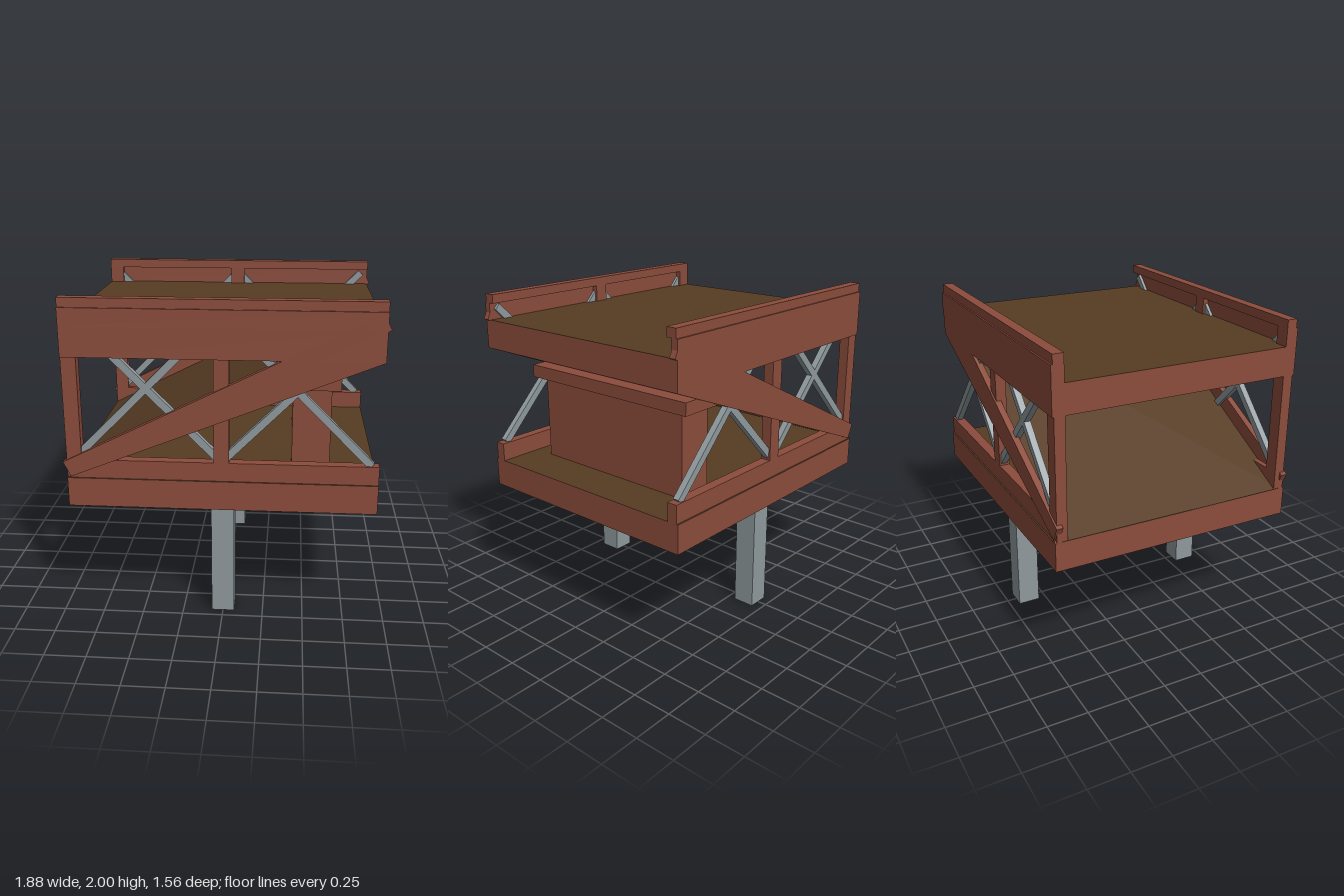
import * as THREE from 'three';

export function createModel() {
  const model = new THREE.Group();
  model.name = 'trussBridgeSection';

  const red = new THREE.MeshStandardMaterial({ color: 0x8b4c3c });
  red.name = 'rust red steel';
  const brown = new THREE.MeshStandardMaterial({ color: 0x563b23 });
  brown.name = 'brown decking';
  const gray = new THREE.MeshStandardMaterial({ color: 0x8f999d, side: THREE.DoubleSide });
  gray.name = 'gray metal';

  function add(parent, name, geometry, material) {
    const mesh = new THREE.Mesh(geometry, material);
    mesh.name = name;
    parent.add(mesh);
    return mesh;
  }

  // Box given by its minimum and maximum on each axis
  function box(parent, name, [x0, x1], [y0, y1], [z0, z1], material) {
    const mesh = add(parent, name, new THREE.BoxGeometry(x1 - x0, y1 - y0, z1 - z0), material);
    mesh.position.set((x0 + x1) / 2, (y0 + y1) / 2, (z0 + z1) / 2);
    return mesh;
  }

  // Straight bar between two points in the xy plane
  function bar(parent, name, [x0, y0], [x1, y1], width, [z0, z1], material) {
    const length = Math.hypot(x1 - x0, y1 - y0);
    const mesh = add(parent, name, new THREE.BoxGeometry(length, width, z1 - z0), material);
    mesh.position.set((x0 + x1) / 2, (y0 + y1) / 2, (z0 + z1) / 2);
    mesh.rotation.z = Math.atan2(y1 - y0, x1 - x0);
    return mesh;
  }

  const X = [-0.92, 0.92];
  const Z = [-0.78, 0.78];

  // Two decks, brown on their upper faces
  const deckMaterials = [red, red, brown, red, red, red];
  box(model, 'lowerDeck', X, [0.74, 0.92], Z, deckMaterials);
  box(model, 'upperDeck', X, [1.66, 1.84], Z, deckMaterials);

  // Wedge-shaped ramp joining the decks
  const wedge = new THREE.Shape([
    new THREE.Vector2(-0.92, 0.92),
    new THREE.Vector2(0.92, 1.66),
    new THREE.Vector2(0.92, 1.84),
  ]);
  const rampGeometry = new THREE.ExtrudeGeometry(wedge, { depth: 1.56, bevelEnabled: false });
  rampGeometry.translate(0, 0, -0.78);
  add(model, 'ramp', rampGeometry, red);
  bar(model, 'rampDecking', [-0.92, 0.921], [0.91, 1.836], 0.006, [-0.74, 0.74], brown);

  // Cabin under the ramp with an overhanging cap
  box(model, 'cabin', [0.41, 0.64], [0.92, 1.45], [-0.57, 0.57], red);
  box(model, 'cabinCap', [0.36, 0.69], [1.45, 1.53], [-0.64, 0.64], red);

  // Truss and leg on each side
  for (const side of [1, -1]) {
    const truss = new THREE.Group();
    truss.name = side > 0 ? 'frontTruss' : 'backTruss';
    model.add(truss);
    const span = (a, b) => (side > 0 ? [a, b] : [-b, -a]);
    const frameZ = span(0.705, 0.77);
    const curbZ = span(0.74, 0.78);
    const braceZ = span(0.72, 0.76);

    box(truss, 'lowerChord', X, [0.92, 1.035], frameZ, red);
    box(truss, 'upperChord', X, [1.945, 2.0], frameZ, red);
    box(truss, 'upperCurb', X, [1.84, 1.945], curbZ, red);
    box(truss, 'endPost', [-0.92, -0.83], [1.035, 1.945], frameZ, red);
    box(truss, 'middlePost', [-0.045, 0.045], [1.035, 1.945], frameZ, red);
    bar(truss, 'rampCurb', [-0.92, 0.975], [0.918, 1.89], 0.1, curbZ, red);

    // Crossed braces in both bays
    for (const [x0, x1] of [[-0.875, 0], [0, 0.875]]) {
      bar(truss, 'risingBrace', [x0, 1.035], [x1, 1.92], 0.045, braceZ, gray);
      bar(truss, 'fallingBrace', [x0, 1.92], [x1, 1.035], 0.045, braceZ, gray);
    }

    // Hollow square leg, open underneath
    const legGeometry = new THREE.CylinderGeometry(0.07 * Math.SQRT2, 0.07 * Math.SQRT2, 0.74, 4, 1, true);
    legGeometry.rotateY(Math.PI / 4);
    const flatLeg = legGeometry.toNonIndexed();
    flatLeg.computeVertexNormals();
    add(model, 'leg', flatLeg, gray).position.set(0, 0.37, side * 0.62);
  }

  return model;
}
